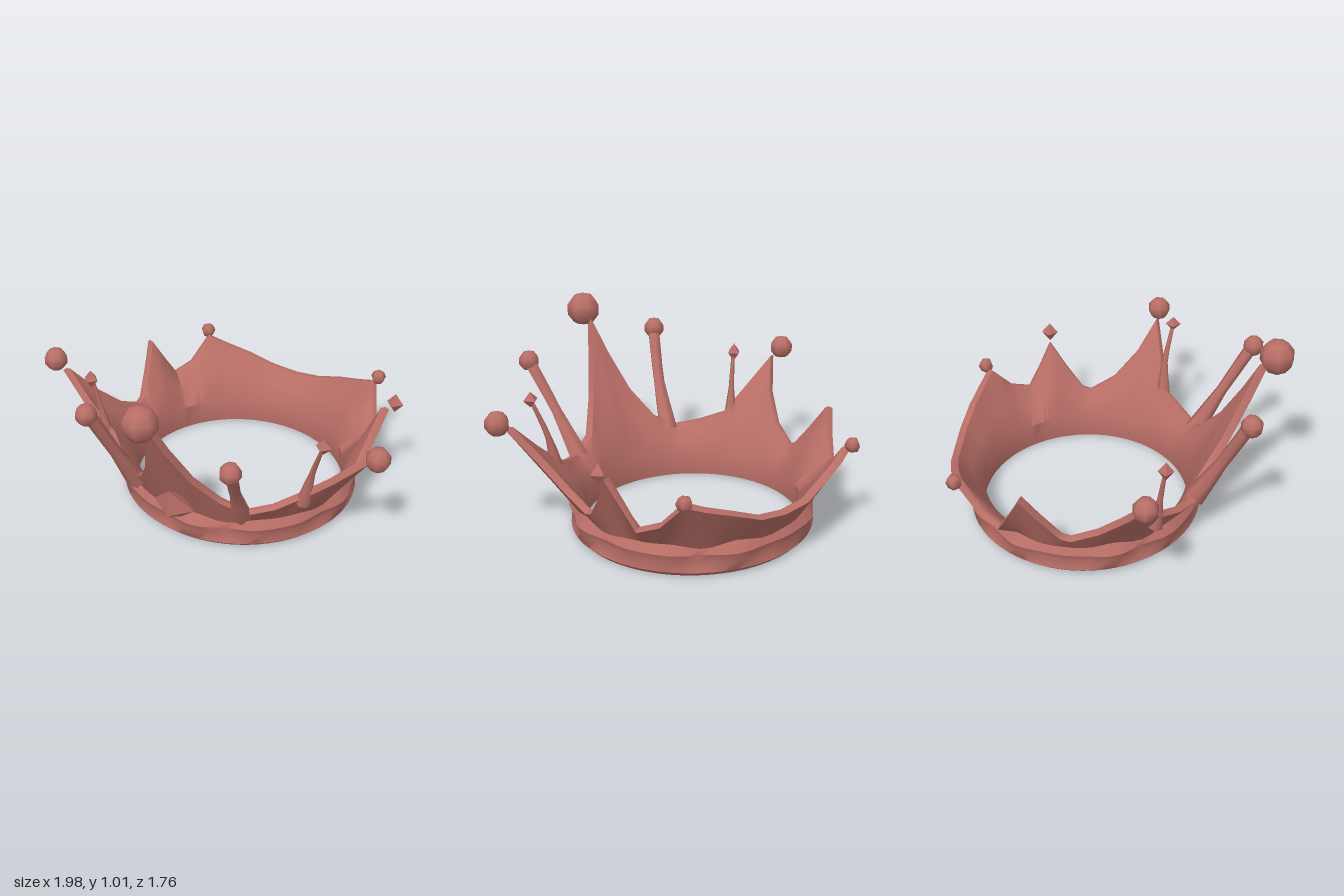
import * as THREE from 'three';
import { toCreasedNormals } from 'three/addons/utils/BufferGeometryUtils.js';

const CZ = -0.18; // centre of the ring in z
const mat = new THREE.MeshStandardMaterial({ color: 0xb86e66, side: THREE.DoubleSide });
mat.name = 'dustyRose';

// Upper edge of one half, front to back: angle at the band, then x, y, z
const rim = [
  [0, 0, 0.87, 0.75], [5, 0.055, 0.69, 0.67], [12, 0.13, 0.49, 0.57], [22, 0.23, 0.33, 0.46],
  [31, 0.35, 0.265, 0.41], [42, 0.47, 0.29, 0.33], [53, 0.58, 0.34, 0.235],
  [62, 0.73, 0.47, 0.215], [68, 0.885, 0.62, 0.18], [75, 0.785, 0.46, 0.07],
  [83, 0.72, 0.33, -0.06], [92, 0.69, 0.255, -0.2], [96, 0.69, 0.27, -0.25],
  [104, 0.715, 0.4, -0.35], [110, 0.74, 0.53, -0.44], [115, 0.69, 0.4, -0.5],
  [121, 0.65, 0.285, -0.56], [129, 0.59, 0.33, -0.66], [138, 0.535, 0.46, -0.77],
  [145, 0.44, 0.42, -0.805], [156, 0.3, 0.375, -0.845], [168, 0.15, 0.32, -0.875], [180, 0, 0.305, -0.88],
];
const mirrored = rim.slice(1, -1).reverse().map(([a, x, y, z]) => [360 - a, -x, y, z]);
const loop = [...rim, ...mirrored];

// Closed cross-sections swept round the ring: bulging band below, flared points above
function wallGeometry() {
  const cols = [];
  loop.forEach((k, i) => {
    const n = loop[(i + 1) % loop.length];
    const nextAngle = n[0] || 360;
    for (const t of [0, 0.5]) {
      const a = THREE.MathUtils.degToRad(k[0] + (nextAngle - k[0]) * t);
      const p = new THREE.Vector3(k[1], k[2], k[3]).lerp(new THREE.Vector3(n[1], n[2], n[3]), t);
      cols.push({ a, p });
    }
  });
  const verts = [], index = [], N = 13;
  for (const { a, p } of cols) {
    const ring = (r, y) => new THREE.Vector3(Math.sin(a) * r, y, CZ + Math.cos(a) * r * 0.965);
    const w = 0.009 * Math.sin(9 * a + 1) + 0.006 * Math.sin(14 * a);
    const foot = ring(0.622, 0.165 + w), inner = ring(0.562, 0.15);
    // Thickness is set square to the slope of the wall
    const radial = Math.hypot(p.x, p.z - CZ);
    const slope = new THREE.Vector2(radial - 0.622, p.y - 0.16).normalize();
    const off = new THREE.Vector3(-p.x / radial * slope.y, slope.x * 0.5, -(p.z - CZ) / radial * slope.y);
    const top = p.clone().addScaledVector(off, 0.045);
    const crest = p.clone().lerp(top, 0.5);
    crest.y += 0.008;
    const section = [
      ring(0.615, 0.005), ring(0.64, 0.03), ring(0.632 + w, 0.08), ring(0.648 + w, 0.125), foot,
      foot.clone().lerp(p, 0.35), foot.clone().lerp(p, 0.7), p, crest, top,
      inner.clone().lerp(top, 0.5), inner, ring(0.57, 0.01),
    ];
    section.forEach(v => verts.push(v.x, v.y, v.z));
  }
  const M = cols.length;
  for (let j = 0; j < M; j++) for (let i = 0; i < N; i++) {
    const q = (j + 1) % M, r = (i + 1) % N;
    index.push(j * N + i, q * N + i, q * N + r, j * N + i, q * N + r, j * N + r);
  }
  const g = new THREE.BufferGeometry();
  g.setAttribute('position', new THREE.Float32BufferAttribute(verts, 3));
  g.setIndex(index);
  return toCreasedNormals(g, 0.8);
}

// Tube whose radius follows a start, middle and end value
function taperedTube(points, radii) {
  const path = new THREE.CatmullRomCurve3(points.map(p => new THREE.Vector3(...p)));
  const steps = 6, sides = 6;
  const g = new THREE.TubeGeometry(path, steps, 1, sides);
  const pos = g.attributes.position, v = new THREE.Vector3();
  for (let i = 0; i < pos.count; i++) {
    const t = Math.floor(i / (sides + 1)) / steps;
    const r = t < 0.5 ? THREE.MathUtils.lerp(radii[0], radii[1], t * 2)
      : THREE.MathUtils.lerp(radii[1], radii[2], t * 2 - 1);
    const c = path.getPointAt(t);
    v.fromBufferAttribute(pos, i).sub(c).multiplyScalar(r).add(c);
    pos.setXYZ(i, v.x, v.y, v.z);
  }
  g.computeVertexNormals();
  return g;
}

export function createModel() {
  const model = new THREE.Group();
  model.name = 'crown';
  const add = (name, geometry, position = [0, 0, 0]) => {
    const m = new THREE.Mesh(geometry, mat);
    m.name = name;
    m.position.set(...position);
    model.add(m);
    return m;
  };

  add('bandAndPoints', wallGeometry());

  // Faceted balls on the larger points and the front spikes
  const ball = (name, r, p) => add(name, new THREE.SphereGeometry(r, 7, 5), p);
  ball('frontBall', 0.092, [0, 0.925, 0.79]);
  ball('leftSideBall', 0.064, [0.93, 0.665, 0.18]);
  ball('rightSideBall', 0.064, [-0.935, 0.67, 0.17]);
  ball('leftFrontBall', 0.056, [0.42, 0.735, 0.7]);
  ball('rightFrontBall', 0.058, [-0.395, 0.77, 0.66]);

  // Slim spikes rising from the valleys
  const spike = (name, pts, radii) => add(name, taperedTube(pts, radii));
  spike('leftFrontSpike', [[0.315, 0.25, 0.4], [0.365, 0.5, 0.55], [0.415, 0.71, 0.68]], [0.055, 0.03, 0.034]);
  spike('rightFrontSpike', [[-0.295, 0.25, 0.4], [-0.33, 0.5, 0.53], [-0.38, 0.74, 0.64]], [0.055, 0.032, 0.034]);
  spike('leftThinSpike', [[0.57, 0.3, 0.22], [0.615, 0.5, 0.225], [0.675, 0.68, 0.26]], [0.04, 0.016, 0.01]);
  spike('rightThinSpike', [[-0.595, 0.3, 0.21], [-0.615, 0.48, 0.23], [-0.64, 0.65, 0.25]], [0.04, 0.016, 0.01]);

  // Small pointed beads
  const bead = (name, p, r, h) => add(name, new THREE.OctahedronGeometry(1), p).scale.set(r, h, r);
  bead('leftThinBead', [0.685, 0.705, 0.265], 0.042, 0.042);
  bead('rightThinBead', [-0.65, 0.675, 0.255], 0.04, 0.052);
  bead('leftBackBead', [0.77, 0.58, -0.44], 0.045, 0.055);

  // Knobs on the back corners
  for (const s of [1, -1]) {
    add(s > 0 ? 'leftBackKnob' : 'rightBackKnob', new THREE.SphereGeometry(0.042, 5, 4), [s * 0.54, 0.485, -0.78]);
  }

  // Diamond set on the front, leaning with the wall
  const gem = add('frontGem', new THREE.OctahedronGeometry(1), [0, 0.275, 0.515]);
  gem.scale.set(0.115, 0.125, 0.075);
  gem.rotation.x = 0.42;

  return model;
}
